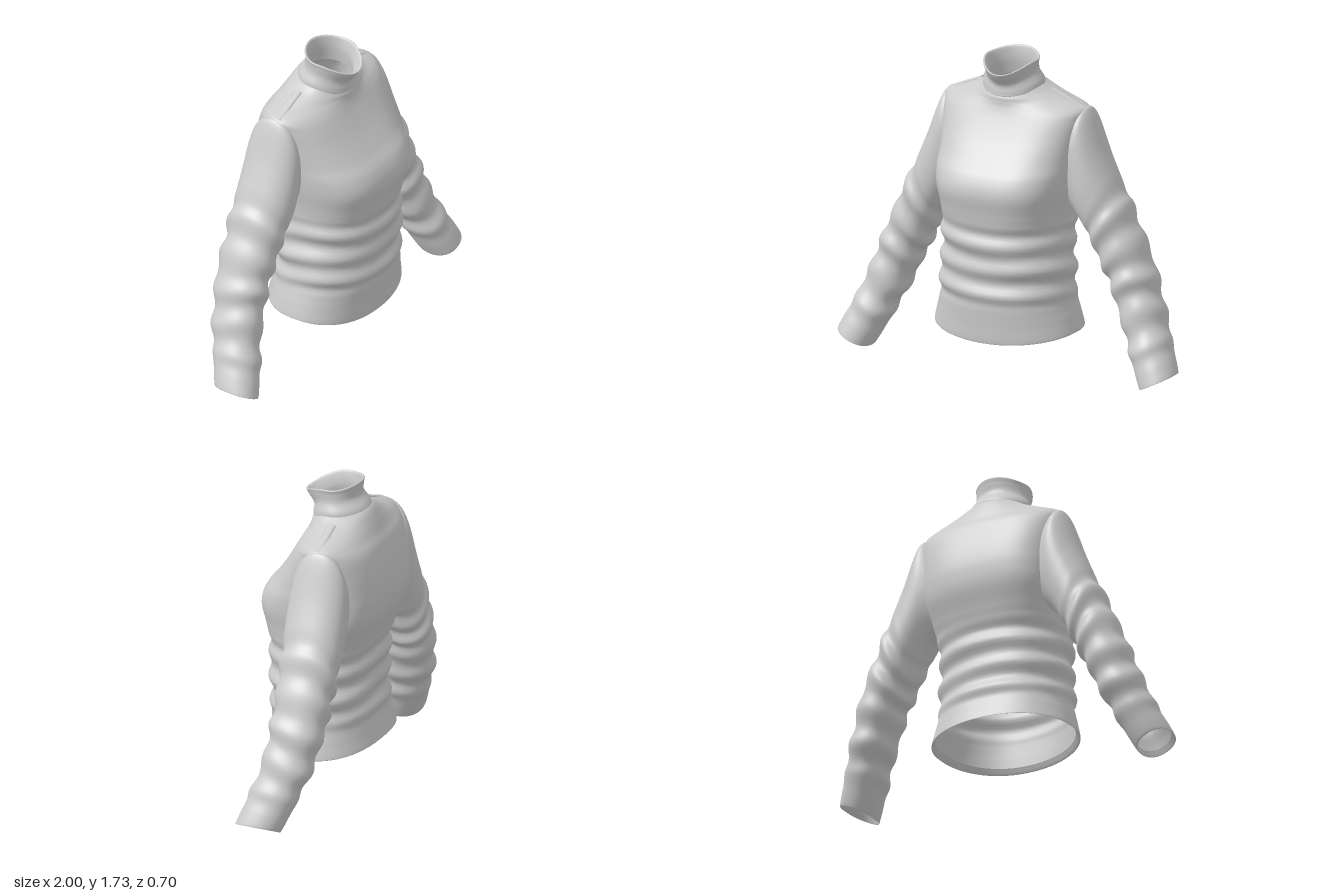
import * as THREE from 'three';
import { ParametricGeometry } from 'three/addons/geometries/ParametricGeometry.js';

const material = new THREE.MeshStandardMaterial({ color: 0xcccccc, side: THREE.DoubleSide });

// Smooth interpolation through rows of cross-section parameters, t in 0..1
function sample(rows, t) {
  const f = Math.min(Math.max(t, 0), 1) * (rows.length - 1);
  const i = Math.min(Math.floor(f), rows.length - 2), k = f - i;
  const a = rows[Math.max(i - 1, 0)], b = rows[i], c = rows[i + 1], d = rows[Math.min(i + 2, rows.length - 1)];
  return b.map((p, j) => {
    const m0 = (c[j] - a[j]) / 2, m1 = (d[j] - p) / 2;
    return p + k * (m0 + k * (3 * (c[j] - p) - 2 * m0 - m1 + k * (2 * (p - c[j]) + m0 + m1)));
  });
}

// Radius of a rounded-square outline with exponent n
const superRadius = (c, s, n) => (Math.abs(c) ** n + Math.abs(s) ** n) ** (-1 / n);

// Soft window that is 1 inside lo..hi and fades out over w
const band = (x, lo, hi, w) => THREE.MathUtils.smoothstep(x, lo - w, lo) * (1 - THREE.MathUtils.smoothstep(x, hi, hi + w));

function addMesh(group, name, geometry) {
  const mesh = new THREE.Mesh(geometry, material);
  mesh.name = name;
  group.add(mesh);
}

// Upright tube. Row: yFront, ySide, yBack, halfWidth, zFront, zBack, zSide, exponent
function bodyGeometry(rows, around, along, fold = () => 0) {
  return new ParametricGeometry((u, v, p) => {
    const [yf, ys, yb, w, zf, zb, zs, n] = sample(rows, v);
    const a = u * Math.PI * 2, c = Math.cos(a), s = -Math.sin(a);
    const y = ys + ((s > 0 ? yf : yb) - ys) * s * s;
    const r = superRadius(c, s, n), d = fold(a, y);
    p.set(c * (r * w + d), y, zs + s * (r * (s > 0 ? zf - zs : zs - zb) + d));
  }, around, along);
}

// Sleeve tube. Row: outer x, outer y, inner x, inner y, zFront, zBack
function sleeveGeometry(rows, side) {
  return new ParametricGeometry((u, v, p) => {
    const [xo, yo, xi, yi, zf, zb] = sample(rows, v);
    const a = u * Math.PI * 2 * side, c = Math.cos(a), s = Math.sin(a);
    const wave = Math.sin(v * 58 + 0.9 * Math.sin(a + 0.6) + 0.5 * Math.sin(2 * a + v * 9));
    const r = superRadius(c, s, 2.2) * (1 + 0.085 * band(v, 0.34, 0.76, 0.1) * wave * (0.75 + 0.25 * Math.sin(v * 23 + a)));
    const x = (xo + xi) / 2 + (c * r * (xo - xi)) / 2;
    p.set(x * side, (yo + yi) / 2 + (c * r * (yo - yi)) / 2, (zf + zb) / 2 + (s * r * (zf - zb)) / 2);
  }, 48, 150);
}

export function createModel() {
  const model = new THREE.Group();
  model.name = 'turtleneckSweater';

  // Torso from the turned-in hem up to the neckline
  const torso = [
    [0.23, 0.28, 0.31, 0.385, 0.265, -0.275, 0, 2.3],
    [0.2, 0.25, 0.28, 0.41, 0.285, -0.295, 0, 2.3],
    [0.3, 0.33, 0.35, 0.392, 0.292, -0.277, 0, 2.3],
    [0.4, 0.42, 0.43, 0.368, 0.298, -0.26, 0, 2.4],
    [0.6, 0.6, 0.6, 0.355, 0.307, -0.257, 0, 2.5],
    [0.8, 0.8, 0.8, 0.345, 0.315, -0.267, -0.03, 2.6],
    [0.92, 0.92, 0.92, 0.352, 0.332, -0.3, -0.07, 2.9],
    [1.03, 1.03, 1.03, 0.37, 0.35, -0.338, -0.1, 3.1],
    [1.12, 1.12, 1.12, 0.38, 0.322, -0.35, -0.1, 3.1],
    [1.2, 1.2, 1.2, 0.386, 0.26, -0.347, -0.1, 3],
    [1.3, 1.3, 1.3, 0.394, 0.19, -0.328, -0.1, 3],
    [1.4, 1.4, 1.4, 0.407, 0.132, -0.3, -0.1, 2.7],
    [1.455, 1.46, 1.46, 0.412, 0.108, -0.27, -0.1, 2],
    [1.485, 1.505, 1.52, 0.305, 0.102, -0.243, -0.095, 1.8],
    [1.505, 1.54, 1.57, 0.215, 0.1, -0.215, -0.07, 1.9],
    [1.53, 1.57, 1.595, 0.165, 0.088, -0.185, -0.05, 2],
  ];
  const waistFolds = (a, y) => band(y, 0.48, 0.78, 0.1) *
    (0.011 * Math.cos(45 * (y - 0.74) + 0.8 * Math.sin(a + 0.5) + 0.6 * Math.sin(3 * a)) + 0.004 * Math.sin(2 * a + 24 * y));
  addMesh(model, 'torso', bodyGeometry(torso, 96, 160, waistFolds));

  // Folded collar: outer layer up to the rim, then the lining back down
  const collar = [
    [1.535, 1.575, 1.6, 0.155, 0.085, -0.18, -0.05, 2],
    [1.515, 1.555, 1.585, 0.168, 0.1, -0.2, -0.05, 2],
    [1.535, 1.585, 1.605, 0.168, 0.1, -0.19, -0.05, 2],
    [1.575, 1.635, 1.65, 0.147, 0.1, -0.157, -0.04, 2],
    [1.62, 1.68, 1.7, 0.146, 0.135, -0.16, -0.03, 1.95],
    [1.645, 1.705, 1.73, 0.15, 0.15, -0.165, -0.03, 1.9],
    [1.64, 1.7, 1.722, 0.137, 0.132, -0.153, -0.03, 1.9],
    [1.59, 1.64, 1.66, 0.124, 0.09, -0.147, -0.04, 2],
    [1.52, 1.56, 1.58, 0.13, 0.085, -0.16, -0.04, 2],
  ];
  addMesh(model, 'collar', bodyGeometry(collar, 64, 64));

  // Sleeves from inside the armhole down to the turned-in cuff
  const sleeve = [
    [0.37, 1.44, 0.3, 0.93, 0.04, -0.25],
    [0.425, 1.45, 0.36, 0.89, 0.055, -0.268],
    [0.515, 1.22, 0.4, 0.85, 0.062, -0.273],
    [0.605, 1.02, 0.455, 0.76, 0.05, -0.272],
    [0.685, 0.86, 0.505, 0.65, 0.04, -0.268],
    [0.76, 0.69, 0.555, 0.55, 0.036, -0.262],
    [0.825, 0.53, 0.605, 0.44, 0.04, -0.245],
    [0.885, 0.36, 0.665, 0.3, 0.06, -0.21],
    [0.94, 0.23, 0.735, 0.155, 0.1, -0.16],
    [0.997, 0.1, 0.81, 0.008, 0.14, -0.105],
    [0.975, 0.115, 0.81, 0.04, 0.125, -0.09],
  ];
  for (const [side, word] of [[1, 'left'], [-1, 'right']]) {
    addMesh(model, word + 'Sleeve', sleeveGeometry(sleeve, side));

    // Flat raised seam along the top of the shoulder
    const seam = new THREE.CatmullRomCurve3([[0.4, 1.462], [0.3, 1.505], [0.21, 1.542]]
      .map(([x, y]) => new THREE.Vector3(x * side, y, 0)));
    addMesh(model, word + 'ShoulderSeam', new THREE.TubeGeometry(seam, 16, 0.009, 10).scale(1, 1, 2.6).translate(0, 0, -0.088));
  }
  return model;
}
